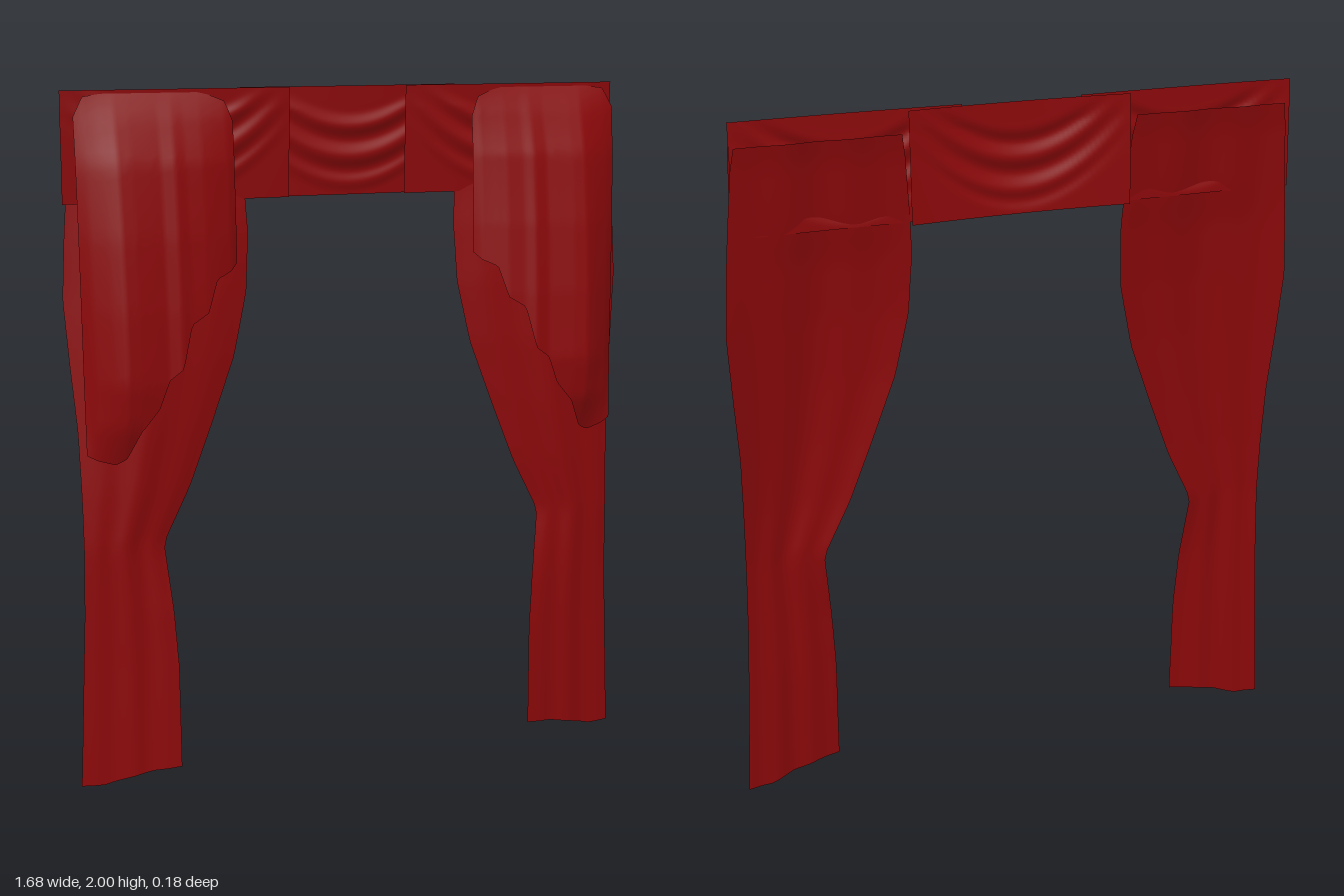
import * as THREE from 'three';

const cloth = new THREE.MeshStandardMaterial({ color: 0x8c080a, side: THREE.DoubleSide });

// Piecewise-linear lookup: rows are [key, value, value, ...] with ascending keys
function lookup(rows, key) {
  let i = 1;
  while (i < rows.length - 1 && rows[i][0] < key) i++;
  const a = rows[i - 1], b = rows[i];
  const t = THREE.MathUtils.clamp((key - a[0]) / (b[0] - a[0]), 0, 1);
  return a.slice(1).map((n, k) => n + (b[k + 1] - n) * t);
}

// Grid of cloth: point(u, v) gives [x, y, z]; v runs from top to bottom
function sheet(name, nu, nv, point) {
  const geo = new THREE.PlaneGeometry(1, 1, nu, nv);
  const pos = geo.attributes.position;
  for (let i = 0; i < pos.count; i++) {
    pos.setXYZ(i, ...point(pos.getX(i) + 0.5, 0.5 - pos.getY(i)));
  }
  geo.computeVertexNormals();
  const mesh = new THREE.Mesh(geo, cloth);
  mesh.name = name;
  return mesh;
}

// Long drape: [y, outer x, inner x, outer depth, inner depth, forward bow]
const DRAPE = [
  [0.00, 0.84, 0.55, -0.02, 0.025, 0],
  [0.35, 0.823, 0.55, -0.018, 0.018, 0.002],
  [0.52, 0.815, 0.56, -0.016, 0.01, 0.006],
  [0.72, 0.81, 0.58, -0.014, -0.012, 0.015],
  [0.88, 0.81, 0.50, -0.022, -0.016, 0.023],
  [1.06, 0.813, 0.43, -0.035, -0.022, 0.03],
  [1.25, 0.827, 0.36, -0.05, -0.03, 0.035],
  [1.43, 0.838, 0.32, -0.062, -0.038, 0.035],
  [1.60, 0.828, 0.31, -0.064, -0.048, 0.025],
  [1.70, 0.82, 0.315, -0.066, -0.056, 0.012],
  [1.88, 0.805, 0.33, -0.077, -0.07, 0.004],
  [1.94, 0.795, 0.34, -0.085, -0.08, 0],
];
// Hem height across the drape, outer to inner
const HEM = [[0, 0], [0.24, 0], [0.48, 0.02], [0.75, 0.035], [1, 0.042]];

function drape(name, side) {
  return sheet(name, 36, 60, (u, v) => {
    const t = side > 0 ? 1 - u : u;
    const y = THREE.MathUtils.lerp(1.94, lookup(HEM, t)[0], v);
    const [outer, inner, zOuter, zInner, bow] = lookup(DRAPE, y);
    const arch = Math.sin(t * Math.PI);
    const ripple = 0.004 * Math.sin(t * Math.PI * 5) * arch;
    const z = THREE.MathUtils.lerp(zOuter, zInner, t) + bow * arch + ripple;
    return [side * THREE.MathUtils.lerp(outer, inner, t), y, z];
  });
}

// Bulging tail: [x, top y, bottom y, bulge]
const TAIL = [
  [0.355, 1.91, 1.52, 0.0],
  [0.375, 1.965, 1.50, 0.02],
  [0.42, 1.983, 1.48, 0.04],
  [0.45, 1.99, 1.39, 0.052],
  [0.50, 1.99, 1.36, 0.06],
  [0.53, 1.99, 1.24, 0.072],
  [0.57, 1.99, 1.21, 0.067],
  [0.60, 1.99, 1.13, 0.072],
  [0.65, 1.99, 1.07, 0.08],
  [0.69, 1.99, 0.985, 0.083],
  [0.72, 1.99, 0.97, 0.065],
  [0.77, 1.983, 0.985, 0.028],
  [0.798, 1.93, 1.0, 0.0],
];
// Depth of the tail by height: [y, edge depth, bulge share]
const TAIL_DEPTH = [
  [0.97, 0.017, 0.15], [1.08, 0.012, 0.75], [1.2, 0.007, 1], [1.4, 0.003, 0.92],
  [1.6, -0.002, 0.75], [1.8, -0.012, 0.5], [1.92, -0.027, 0.2], [1.99, -0.04, 0],
];

function tail(name, side) {
  return sheet(name, 60, 40, (u, v) => {
    const x = THREE.MathUtils.lerp(0.355, 0.798, side > 0 ? u : 1 - u);
    const [top, bottom, bulge] = lookup(TAIL, x);
    const y = THREE.MathUtils.lerp(top, bottom, v);
    const [edge, share] = lookup(TAIL_DEPTH, y);
    return [side * x, y, edge + bulge * share];
  });
}

// Valance panel leaning back toward its lower edge, with U-shaped swag folds
function swag(name, x0, x1, depth, bow) {
  return sheet(name, 48, 48, (u, v) => {
    const n = 2 * u - 1;
    const s = v + 0.6 * n * n;
    const fade = (1 - n * n) * THREE.MathUtils.smoothstep(s, 0.15, 0.4)
      * (1 - THREE.MathUtils.smoothstep(s, 0.8, 1)) * Math.min(1, v * 5);
    const folds = fade * (0.006 + 0.007 * Math.sin(s * Math.PI * 7));
    const z = depth - 0.013 * v + bow * (1 - n * n) + folds;
    return [THREE.MathUtils.lerp(x0, x1, u), 2 - 0.308 * v, z];
  });
}

export function createModel() {
  const group = new THREE.Group();
  group.name = 'curtains';
  for (const [label, side] of [['left', 1], ['right', -1]]) {
    group.add(drape(label + 'Drape', side), tail(label + 'Tail', side));
  }
  group.add(
    swag('centreSwag', -0.32, 0.32, -0.076, 0.014),
    swag('leftSwag', 0.16, 0.80, -0.046, 0.006),
    swag('rightSwag', -0.83, -0.185, -0.046, 0.006),
  );
  return group;
}
